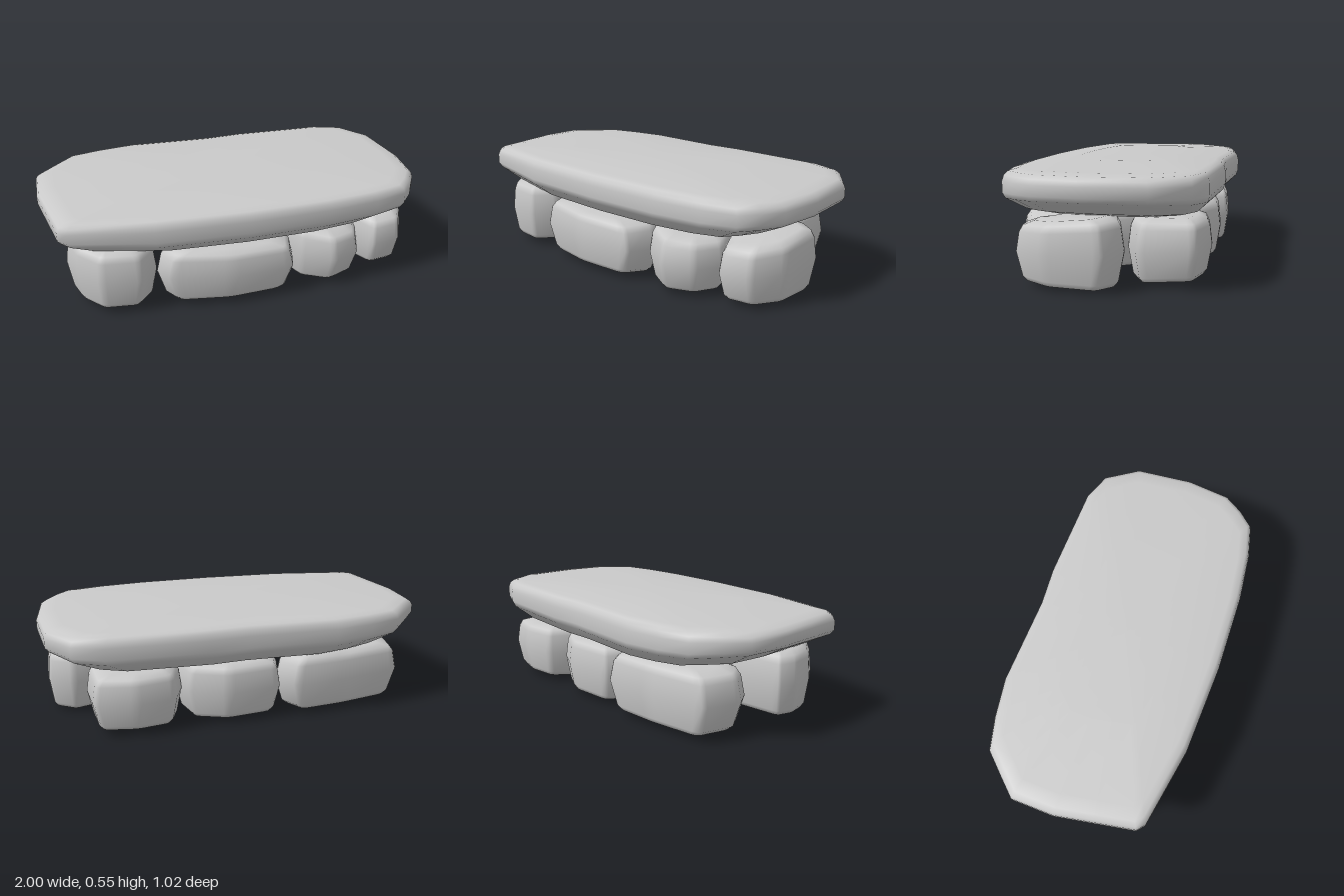
import * as THREE from 'three';

const stoneGrey = new THREE.MeshStandardMaterial({ color: 0xcacaca });
stoneGrey.name = 'stoneGrey';

// Joins equal-length rings (bottom to top) into a closed, smooth-shaded solid
function loft(rings) {
  const n = rings[0].length;
  const pos = rings.flat(2);
  const index = [];
  for (let i = 0; i < rings.length - 1; i++) {
    for (let j = 0; j < n; j++) {
      const k = (j + 1) % n;
      const a = i * n + j, b = i * n + k, c = a + n, d = b + n;
      index.push(a, c, b, b, c, d);
    }
  }
  const addCap = (r, top) => {
    const mid = [0, 1, 2].map(c => rings[r].reduce((s, p) => s + p[c], 0) / n);
    const m = pos.length / 3;
    pos.push(...mid);
    for (let j = 0; j < n; j++) {
      const a = r * n + j, b = r * n + (j + 1) % n;
      if (top) index.push(m, b, a); else index.push(m, a, b);
    }
  };
  addCap(0, false);
  addCap(rings.length - 1, true);
  const g = new THREE.BufferGeometry();
  g.setAttribute('position', new THREE.Float32BufferAttribute(pos, 3));
  g.setIndex(index);
  g.computeVertexNormals();
  return g;
}

// Rounds every corner of an outline with three points
function soften(outline, t) {
  const n = outline.length;
  return outline.flatMap((p, i) => {
    const toward = q => [p[0] + (q[0] - p[0]) * t, p[1] + (q[1] - p[1]) * t];
    const a = toward(outline[(i + n - 1) % n]), b = toward(outline[(i + 1) % n]);
    const mid = [0, 1].map(c => (a[c] + b[c]) / 4 + p[c] / 2);
    return [a, mid, b];
  });
}

// Supporting stone: footprint swept through a bulging profile, with tilted top and base
const stoneProfile = [[0.55, 0], [0.81, 0.035], [0.89, 0.11], [1, 0.52], [0.94, 0.84], [0.87, 0.94], [0.65, 1]];
function stoneGeometry({ foot, y0, y1, tiltX = 0, tiltZ = 0, baseZ = 0 }) {
  const outline = soften(foot, 0.13);
  const cx = outline.reduce((s, p) => s + p[0], 0) / outline.length;
  const cz = outline.reduce((s, p) => s + p[1], 0) / outline.length;
  return loft(stoneProfile.map(([s, f]) => outline.map(([x, z]) => {
    const dx = (x - cx) * s, dz = (z - cz) * s;
    const tilt = f * (tiltX * dx + tiltZ * dz) + (1 - f) * baseZ * dz;
    return [cx + dx, y0 + (y1 - y0) * f + tilt, cz + dz];
  })));
}

// Table slab: broad rounded outline, underside rising toward the ends
function slabGeometry() {
  const outline = [
    [-1, -0.22], [-0.92, -0.31], [-0.82, -0.42], [-0.66, -0.465], [-0.46, -0.5], [0, -0.495],
    [0.2, -0.515], [0.7, -0.515], [0.85, -0.465], [0.965, -0.3], [1, 0], [0.98, 0.23],
    [0.92, 0.33], [0.85, 0.41], [0.68, 0.455], [0.42, 0.49], [0, 0.51], [-0.47, 0.5],
    [-0.88, 0.435], [-0.92, 0.4], [-0.96, 0.2], [-1, 0],
  ];
  // x scale, z scale, height, rise at the ends
  const profile = [
    [0.35, 0.4, 0.305, 0], [0.72, 0.76, 0.31, 0.005], [0.84, 0.86, 0.327, 0.025], [0.98, 0.98, 0.385, 0.04],
    [1, 1, 0.415, 0.03], [1, 1, 0.475, 0.01], [0.99, 0.985, 0.505, 0], [0.965, 0.955, 0.522, 0],
    [0.9, 0.89, 0.531, 0], [0.5, 0.5, 0.547, 0],
  ];
  return loft(profile.map(([sx, sz, y, rise]) => outline.map(([x, z]) =>
    [x * sx, y + rise * x ** 4 * (x < 0 ? 1 : 0.6), z * sz])));
}

const stones = {
  rightFrontStone: {
    foot: [[0.66, -0.11], [0.84, -0.165], [0.96, -0.09], [0.965, 0.18], [0.88, 0.34], [0.72, 0.37], [0.61, 0.15]],
    y0: 0.012, y1: 0.318, tiltZ: -0.09, baseZ: 0.03,
  },
  rightBackStone: {
    foot: [[0.36, -0.47], [0.56, -0.51], [0.76, -0.47], [0.78, -0.2], [0.62, -0.115], [0.32, -0.13], [0.3, -0.3]],
    y0: 0.012, y1: 0.312, baseZ: -0.08,
  },
  middleBackStone: {
    foot: [[-0.18, -0.44], [0.1, -0.48], [0.29, -0.4], [0.33, -0.21], [0.18, -0.11], [-0.1, -0.15], [-0.22, -0.29]],
    y0: 0.012, y1: 0.315, baseZ: -0.06,
  },
  leftBackStone: {
    foot: [[-0.86, -0.37], [-0.53, -0.44], [-0.26, -0.47], [-0.18, -0.35], [-0.25, -0.2], [-0.55, -0.07], [-0.81, -0.07], [-0.89, -0.17]],
    y0: 0.02, y1: 0.325,
  },
  leftFrontStone: {
    foot: [[-0.87, 0.09], [-0.58, 0.04], [-0.46, 0.18], [-0.45, 0.36], [-0.54, 0.47], [-0.74, 0.45], [-0.85, 0.32], [-0.89, 0.19]],
    y0: 0.025, y1: 0.352,
  },
  longFrontStone: {
    foot: [[-0.38, 0.22], [-0.1, 0.17], [0.2, 0.2], [0.28, 0.31], [0.23, 0.48], [-0.1, 0.512], [-0.4, 0.46], [-0.455, 0.35]],
    y0: 0.012, y1: 0.307, tiltX: -0.03, baseZ: 0.12,
  },
  smallFrontStone: {
    foot: [[0.18, -0.12], [0.35, -0.2], [0.56, 0.04], [0.67, 0.26], [0.61, 0.41], [0.46, 0.48], [0.3, 0.39], [0.23, 0.19]],
    y0: 0.012, y1: 0.305, tiltX: -0.1, baseZ: 0.03,
  },
};

export function createModel() {
  const model = new THREE.Group();
  model.name = 'stoneTable';
  const add = (name, geometry) => {
    const mesh = new THREE.Mesh(geometry, stoneGrey);
    mesh.name = name;
    model.add(mesh);
  };
  add('slab', slabGeometry());
  for (const [name, spec] of Object.entries(stones)) add(name, stoneGeometry(spec));

  // Rest the lowest stone on the ground
  const box = new THREE.Box3().setFromObject(model);
  for (const mesh of model.children) mesh.position.y = -box.min.y;
  return model;
}
